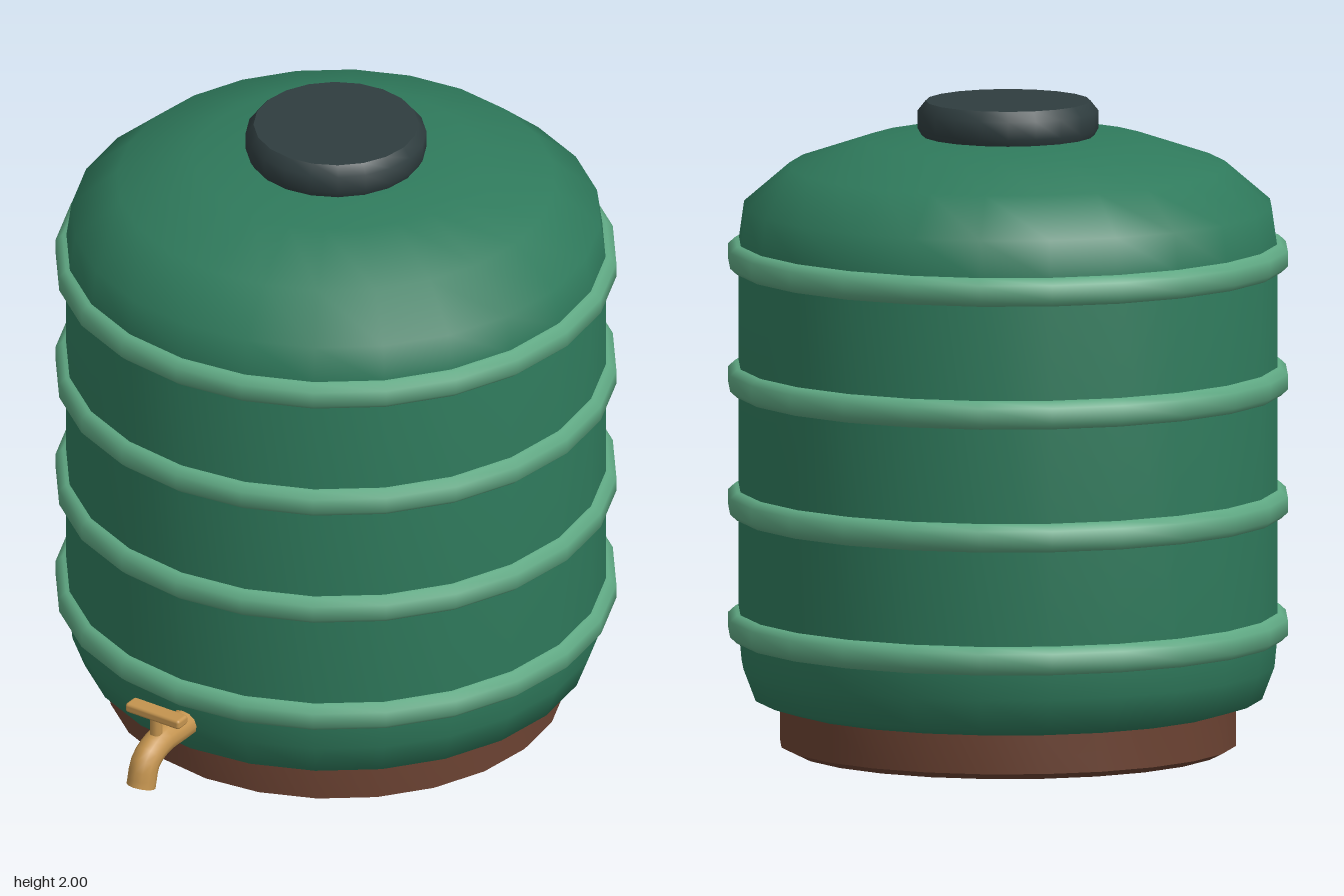
import * as THREE from 'three';
import { toCreasedNormals } from 'three/addons/utils/BufferGeometryUtils.js';
import { RoundedBoxGeometry } from 'three/addons/geometries/RoundedBoxGeometry.js';

const material = (name, color) => {
  const m = new THREE.MeshStandardMaterial({ color });
  m.name = name;
  return m;
};

export function createModel() {
  const model = new THREE.Group();
  model.name = 'waterTank';
  const green = material('tankGreen', 0x2f7a5c);
  const lightGreen = material('bandGreen', 0x5fa883);
  const brown = material('baseBrown', 0x6b4232);
  const slate = material('lidSlate', 0x2f3d3f);
  const brass = material('tapBrass', 0xc4944f);

  const add = (parent, name, geometry, mat, x = 0, y = 0, z = 0) => {
    const mesh = new THREE.Mesh(geometry, mat);
    mesh.name = name;
    mesh.position.set(x, y, z);
    parent.add(mesh);
    return mesh;
  };
  // Profile of [radius, height] pairs, listed from bottom to top
  const turned = (profile, sides, crease) => toCreasedNormals(
    new THREE.LatheGeometry(profile.map(([r, y]) => new THREE.Vector2(r, y)), sides), crease);

  // Turned parts share one axis, set back to leave room for the tap
  const tank = new THREE.Group();
  tank.name = 'tank';
  tank.position.z = -0.116;
  model.add(tank);

  add(tank, 'base', turned(
    [[0, 0], [0.66, 0], [0.7, 0.02], [0.7, 0.145], [0, 0.145]], 24, 0.8), brown);

  add(tank, 'body', turned([
    [0, 0.14], [0.7, 0.14], [0.78, 0.165], [0.818, 0.265], [0.827, 0.36],
    [0.827, 1.56], [0.81, 1.68], [0.67, 1.8], [0.435, 1.88], [0.2, 1.9], [0, 1.9],
  ], 24, 1.3), green);

  // Raised hoops around the body
  const hoop = turned([
    [0.81, -0.045], [0.838, -0.043], [0.859, -0.024],
    [0.859, 0.024], [0.838, 0.043], [0.81, 0.045],
  ], 24, 0.9);
  for (let i = 0; i < 4; i++) add(tank, 'hoop' + (i + 1), hoop, lightGreen, 0, 0.387 + i * 0.379, 0);

  add(tank, 'lid', turned([
    [0, 1.89], [0.262, 1.89], [0.276, 1.915], [0.276, 1.97], [0.252, 2], [0, 2],
  ], 20, 0.85), slate);

  // Tap: bent spout, stem and crossbar handle
  const tap = new THREE.Group();
  tap.name = 'tap';
  model.add(tap);
  const path = new THREE.CatmullRomCurve3([
    [0.64, 0.273], [0.74, 0.273], [0.84, 0.27], [0.905, 0.235], [0.93, 0.16],
  ].map(([z, y]) => new THREE.Vector3(0, y, z)));
  add(tap, 'spout', new THREE.TubeGeometry(path, 14, 0.045, 12), brass);
  const end = path.getPointAt(1);
  const cap = add(tap, 'spoutEnd', new THREE.CircleGeometry(0.045, 12), brass, end.x, end.y, end.z);
  cap.lookAt(end.clone().add(path.getTangentAt(1)));
  add(tap, 'stem', new THREE.CylinderGeometry(0.02, 0.02, 0.09, 10), brass, 0, 0.33, 0.848);
  add(tap, 'handle', new RoundedBoxGeometry(0.2, 0.032, 0.054, 2, 0.01), brass, 0, 0.376, 0.846);

  return model;
}
